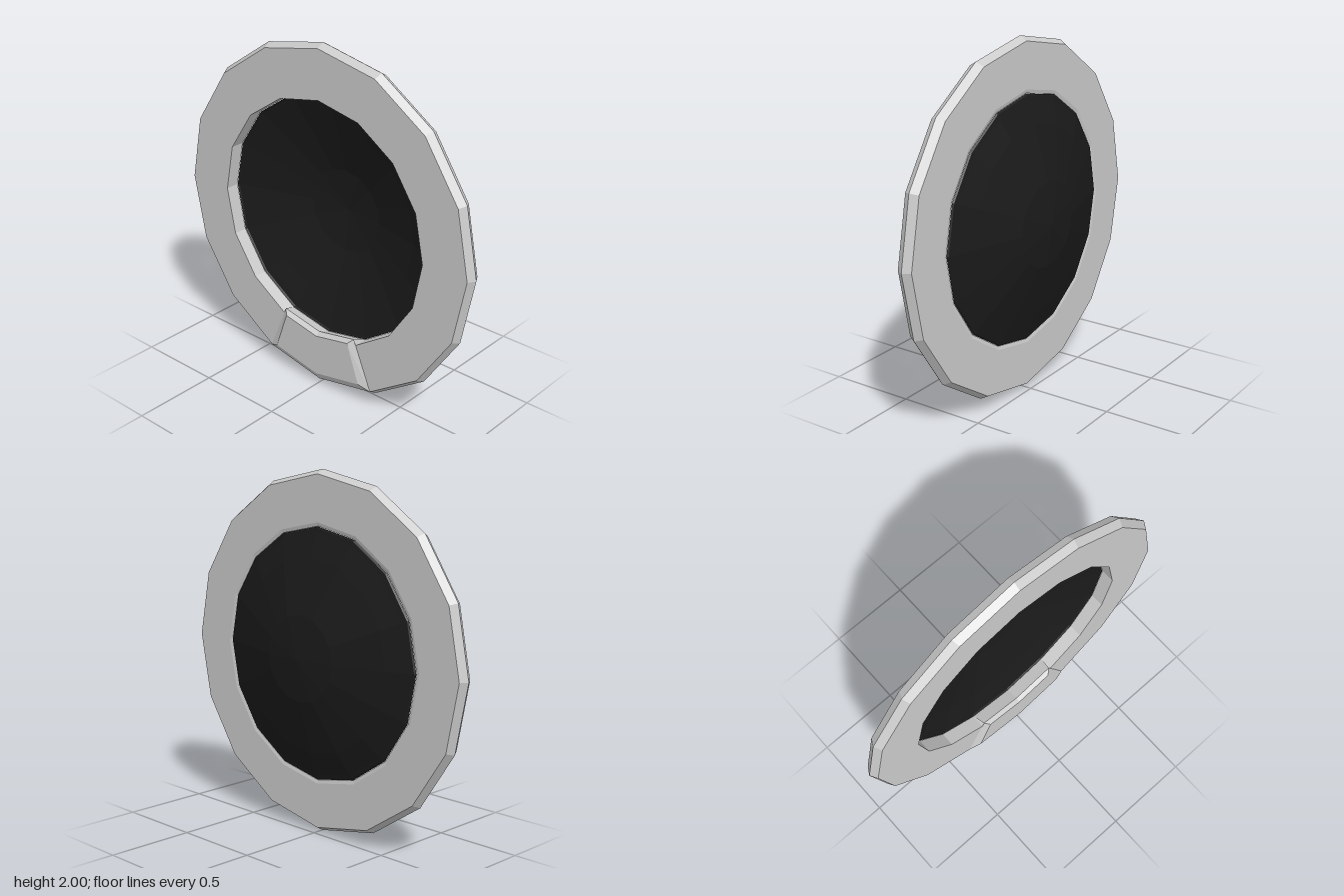
import * as THREE from 'three';

const SIDES = 16;

// Lathe around the x axis, from [radius, x] points
function turned(name, points, material) {
  const geometry = new THREE.LatheGeometry(points.map(([r, x]) => new THREE.Vector2(r, x)), SIDES);
  geometry.rotateZ(-Math.PI / 2);
  geometry.translate(0, 1, 0);
  const mesh = new THREE.Mesh(geometry, material);
  mesh.name = name;
  return mesh;
}

// Raised pad on the back of the rim: cross-sections swept over two ring sides
function padGeometry() {
  const raised = [[0.7, -0.03], [0.665, -0.11], [0.685, -0.135], [0.93, -0.135], [0.975, -0.11]];
  const flat = [[0.7, -0.03], [0.665, -0.11], [0.665, -0.11], [0.975, -0.11], [0.975, -0.11]];
  const sections = [[-22.5, flat], [-19.5, raised], [0, raised], [19.5, raised], [22.5, flat]];
  const positions = [];
  const index = [];
  sections.forEach(([degrees, profile], i) => {
    const a = THREE.MathUtils.degToRad(degrees);
    // keep in-between sections on the straight sides of the polygon
    const half = Math.PI / SIDES;
    const k = Math.cos(half) / Math.cos(Math.abs(a) - half);
    profile.forEach(([r, x], j) => {
      positions.push(x, 1 - r * k * Math.cos(a), r * k * Math.sin(a));
      if (i < sections.length - 1 && j < profile.length - 1) {
        const p = i * profile.length + j;
        const q = p + profile.length;
        index.push(p, p + 1, q + 1, p, q + 1, q);
      }
    });
  });
  const geometry = new THREE.BufferGeometry();
  geometry.setAttribute('position', new THREE.Float32BufferAttribute(positions, 3));
  geometry.setIndex(index);
  geometry.computeVertexNormals();
  return geometry;
}

export function createModel() {
  const model = new THREE.Group();
  const grey = new THREE.MeshStandardMaterial({ color: 0xcccccc, flatShading: true, side: THREE.DoubleSide });
  const black = new THREE.MeshStandardMaterial({ color: 0x1a1a1a, flatShading: true, side: THREE.DoubleSide });

  // Bevelled ring with a flat inner collar
  model.add(turned('rim', [
    [0.7, -0.11], [0.975, -0.11], [1, -0.068], [0.975, -0.025],
    [0.77, -0.025], [0.72, -0.025], [0.7, -0.03], [0.7, -0.11],
  ], grey));

  // Shallow domed lens, open behind
  model.add(turned('lens', [
    [0.698, -0.03], [0.69, -0.022], [0.665, -0.015], [0.54, 0.026], [0.24, 0.11], [0, 0.135],
  ], black));

  const pad = new THREE.Mesh(padGeometry(), grey);
  pad.name = 'backPad';
  model.add(pad);

  return model;
}
